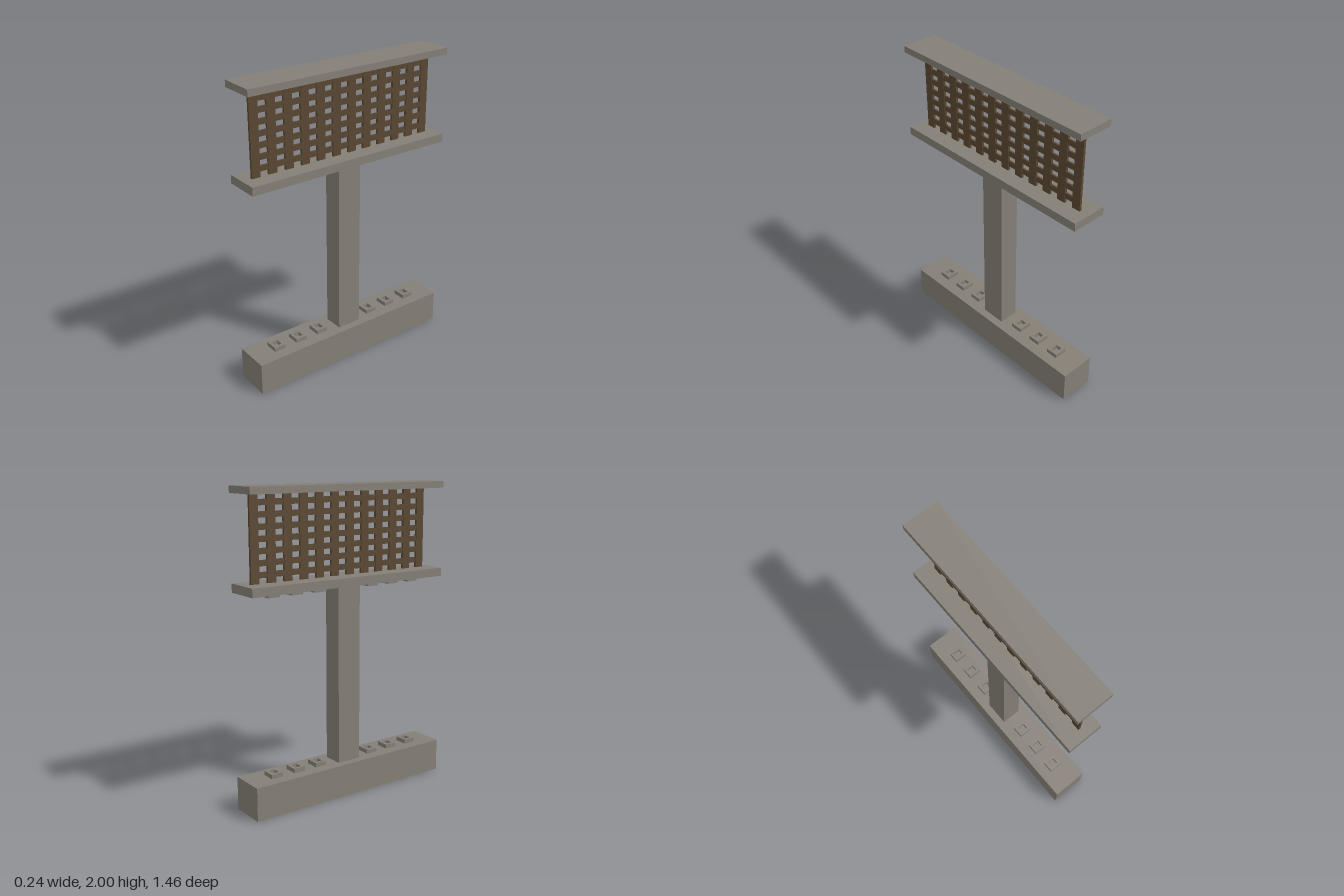
import * as THREE from 'three';

export function createModel() {
  const model = new THREE.Group();
  const stone = new THREE.MeshStandardMaterial({ color: 0x857f76 });
  stone.name = 'warm grey';
  const wood = new THREE.MeshStandardMaterial({ color: 0x5a4732 });
  wood.name = 'dark brown';

  // Box given by its size, its centre in x and z, and its bottom and top heights
  function box(parent, name, material, width, bottom, top, depth, x = 0, z = 0) {
    const mesh = new THREE.Mesh(new THREE.BoxGeometry(width, top - bottom, depth), material);
    mesh.position.set(x, (bottom + top) / 2, z);
    mesh.name = name;
    parent.add(mesh);
  }

  // Base, post and the two shelves
  box(model, 'base', stone, 0.238, 0, 0.215, 1.46);
  box(model, 'post', stone, 0.134, 0.215, 1.375, 0.166);
  box(model, 'lowerBeam', stone, 0.238, 1.375, 1.43, 1.46);
  box(model, 'upperBeam', stone, 0.238, 1.957, 2, 1.46);

  // Lattice of upright slats crossed by rails
  const lattice = new THREE.Group();
  lattice.name = 'lattice';
  model.add(lattice);
  for (let i = 0; i < 12; i++) {
    box(lattice, 'slat', wood, 0.016, 1.43, 1.957, 0.058, 0.008, (i - 5.5) * 0.116);
  }
  for (let i = 0; i < 7; i++) {
    const y = 1.481 + i * 0.0707;
    box(lattice, 'rail', wood, 0.012, y - 0.018, y + 0.018, 1.332, 0.008);
  }

  // Square, hollow lamp frames above the base and under the lower beam
  const square = (path, x, z) =>
    path.moveTo(-x, -z).lineTo(x, -z).lineTo(x, z).lineTo(-x, z).closePath();
  const shape = new THREE.Shape();
  square(shape, 0.045, 0.04);
  const hole = new THREE.Path();
  square(hole, 0.025, 0.021);
  shape.holes.push(hole);
  const frame = new THREE.ExtrudeGeometry(shape, { depth: 0.028, bevelEnabled: false });
  frame.rotateX(-Math.PI / 2);
  for (const [name, y] of [['baseLampFrame', 0.215], ['beamLampFrame', 1.348]]) {
    for (const side of [-1, 1]) {
      for (const z of [0.208, 0.373, 0.539]) {
        const mesh = new THREE.Mesh(frame, stone);
        mesh.name = name;
        mesh.position.set(0, y, side * z);
        model.add(mesh);
      }
    }
  }
  return model;
}
